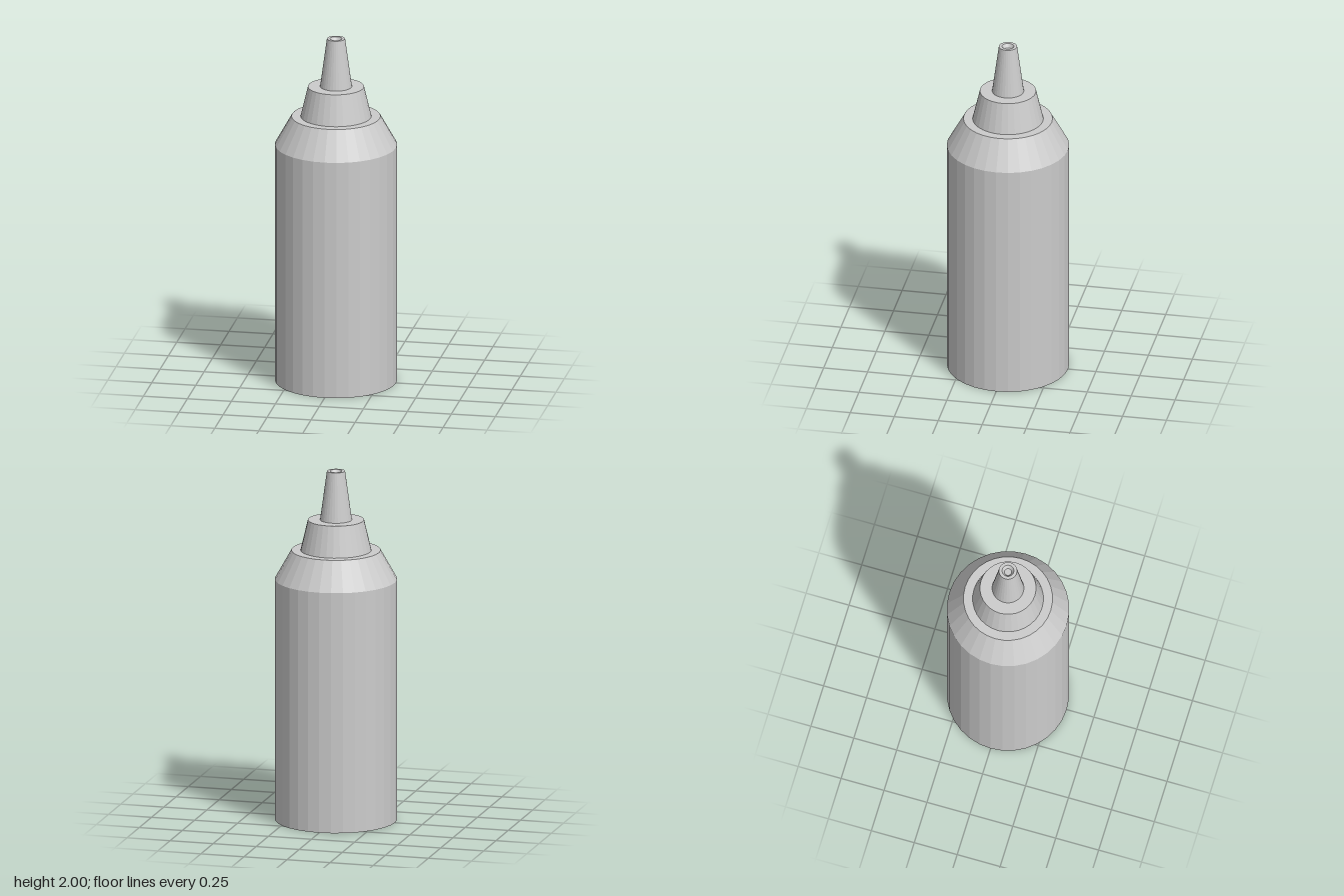
import * as THREE from 'three';

const SIDES = 32;

export function createModel() {
  const model = new THREE.Group();
  model.name = 'squeezeBottle';
  const material = new THREE.MeshStandardMaterial({ color: 0xcccccc, flatShading: true });

  // Turns a [radius, height] profile, listed from the bottom up, into a named part
  function turned(name, profile) {
    const points = profile.map(([r, y]) => new THREE.Vector2(r, y));
    const mesh = new THREE.Mesh(new THREE.LatheGeometry(points, SIDES), material);
    mesh.name = name;
    model.add(mesh);
  }

  // Straight body with a sloping shoulder and flat top
  turned('body', [[0, 0], [0.342, 0], [0.342, 1.38], [0.249, 1.546], [0, 1.546]]);

  // Tapered cap
  turned('cap', [[0.198, 1.546], [0.157, 1.72], [0, 1.72]]);

  // Tapered nozzle with a shallow, narrowing opening in its tip
  turned('nozzle', [[0.089, 1.72], [0.051, 2], [0.033, 2], [0.02, 1.98], [0, 1.98]]);

  return model;
}
